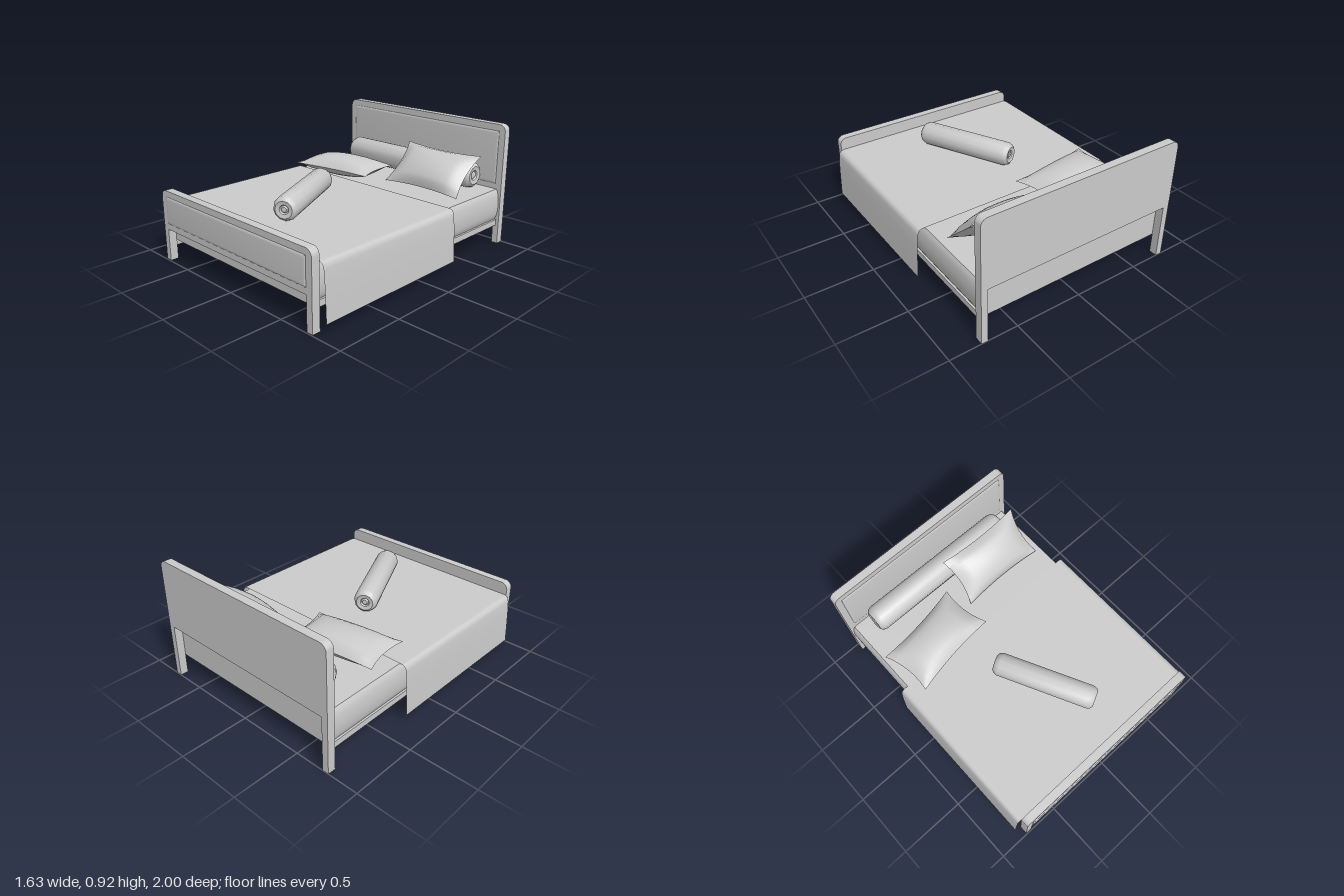
import * as THREE from 'three';
import { toCreasedNormals, mergeGeometries } from 'three/addons/utils/BufferGeometryUtils.js';

const material = new THREE.MeshStandardMaterial({ color: 0xcccccc });
const sheetMaterial = new THREE.MeshStandardMaterial({ color: 0xcccccc, side: THREE.DoubleSide });

function add(parent, name, geometry, mat = material) {
  const mesh = new THREE.Mesh(geometry, mat);
  mesh.name = name;
  parent.add(mesh);
  return mesh;
}

function rectangle(Path, x0, y0, x1, y1) {
  return new Path([[x0, y0], [x1, y0], [x1, y1], [x0, y1]].map(p => new THREE.Vector2(...p)));
}

// End board: two legs and a rounded top in one outline, plus a raised field on its front
function endBoard(name, height, openingTop, back, depth, panelBottom, panelTop) {
  const group = new THREE.Group();
  group.name = name;
  const w = 0.77, inner = 0.722, r = 0.05;
  const s = new THREE.Shape();
  s.moveTo(-w, 0);
  s.lineTo(-inner, 0);
  s.lineTo(-inner, openingTop);
  s.lineTo(inner, openingTop);
  s.lineTo(inner, 0);
  s.lineTo(w, 0);
  s.lineTo(w, height - r);
  s.absarc(w - r, height - r, r, 0, Math.PI / 2);
  s.lineTo(-w + r, height);
  s.absarc(-w + r, height - r, r, Math.PI / 2, Math.PI);
  s.closePath();
  const board = new THREE.ExtrudeGeometry(s, { depth, bevelEnabled: false, curveSegments: 4 });
  add(group, name + 'Frame', toCreasedNormals(board, 0.5)).position.z = back;

  const bevel = 0.02;
  const field = new THREE.ExtrudeGeometry(
    rectangle(THREE.Shape, -0.72 + bevel, panelBottom + bevel, 0.72 - bevel, panelTop - bevel),
    { depth: 0.001, bevelThickness: 0.007, bevelSize: bevel, bevelSegments: 2 });
  add(group, name + 'Panel', toCreasedNormals(field, 0.6)).position.z = back + depth - 0.001;
  return group;
}

// Bed base with two columns of openings
function baseGeometry() {
  const s = rectangle(THREE.Shape, -0.75, -0.935, 0.75, 0.935);
  for (const side of [-1, 1]) {
    for (let i = 0; i < 7; i++) {
      const z = (i - 3) * 0.255, x = side * 0.365;
      s.holes.push(rectangle(THREE.Path, x - 0.3, z - 0.075, x + 0.3, z + 0.075));
    }
  }
  const g = new THREE.ExtrudeGeometry(s, { depth: 0.045, bevelEnabled: false });
  return g.rotateX(-Math.PI / 2).translate(0, 0.145, 0);
}

// Mattress: softly bulging sides carried along z
function mattressGeometry() {
  const side = new THREE.SplineCurve([[0.735, 0.19], [0.752, 0.23], [0.76, 0.31], [0.752, 0.39], [0.735, 0.43]]
    .map(p => new THREE.Vector2(...p))).getPoints(12);
  const mirrored = side.map(p => new THREE.Vector2(-p.x, p.y)).reverse();
  const g = new THREE.ExtrudeGeometry(new THREE.Shape([...side, ...mirrored]), { depth: 1.87, bevelEnabled: false });
  return toCreasedNormals(g.translate(0, 0, -0.935), 0.6);
}

// Blanket: an open sheet following one cross-section
function blanketGeometry() {
  const half = [[0.755, 0.44], [0.778, 0.435], [0.791, 0.42], [0.798, 0.395], [0.806, 0.3], [0.812, 0.18], [0.817, 0.06]];
  const section = [...half.map(([x, y]) => [-x, y]).reverse(), ...half];
  const g = new THREE.PlaneGeometry(1, 1, section.length - 1, 1);
  const p = g.attributes.position;
  for (let i = 0; i < p.count; i++) {
    const [x, y] = section[i % section.length];
    p.setXYZ(i, x, y, i < section.length ? -0.31 : 0.927);
  }
  g.computeVertexNormals();
  return g;
}

// Bolster: a turned roll with rounded rims and a button at each end
function bolsterGeometry(length, r) {
  const h = length / 2;
  const end = [[0, h - 0.008], [0.2 * r, h - 0.008], [0.3 * r, h - 0.016], [0.38 * r, h - 0.006],
    [0.7 * r, h], [0.88 * r, h - 0.012], [r, h - 0.04]];
  const points = [...end.map(([x, y]) => [x, -y]), ...end.slice().reverse()]
    .map(p => new THREE.Vector2(...p));
  return toCreasedNormals(new THREE.LatheGeometry(points, 12), 0.7);
}

// Pillow: two puffed halves with pinched corners and drawn-in edges
function pillowGeometry(width, depth, thickness) {
  const top = new THREE.PlaneGeometry(2, 2, 12, 10).rotateX(-Math.PI / 2);
  const p = top.attributes.position;
  for (let i = 0; i < p.count; i++) {
    const u = p.getX(i), v = p.getZ(i);
    const puff = Math.pow(Math.max(0, (1 - u * u) * (1 - v * v)), 0.55);
    p.setXYZ(i,
      u * (width / 2 - 0.03 * (1 - v * v)),
      puff * thickness / 2,
      v * (depth / 2 - 0.02 * (1 - u * u)));
  }
  top.computeVertexNormals();
  return mergeGeometries([top, top.clone().rotateX(Math.PI)]);
}

export function createModel() {
  const bed = new THREE.Group();
  bed.name = 'bed';

  bed.add(endBoard('headboard', 0.92, 0.41, -1, 0.06, 0.47, 0.87));
  bed.add(endBoard('footboard', 0.53, 0.24, 0.932, 0.061, 0.285, 0.485));
  add(bed, 'bedBase', baseGeometry());
  add(bed, 'mattress', mattressGeometry());
  add(bed, 'blanket', blanketGeometry(), sheetMaterial);

  // Long bolster against the headboard
  const longBolster = add(bed, 'longBolster', bolsterGeometry(1.22, 0.1));
  longBolster.rotation.z = Math.PI / 2;
  longBolster.position.set(0, 0.532, -0.825);

  // Short bolster lying askew on the blanket
  const shortBolster = add(bed, 'shortBolster', bolsterGeometry(0.75, 0.087));
  shortBolster.quaternion.setFromUnitVectors(
    new THREE.Vector3(0, 1, 0), new THREE.Vector3(0.335, 0, 0.67).normalize());
  shortBolster.position.set(0, 0.528, 0.34);

  // One pillow flat, one leaning on the bolster
  const flatPillow = add(bed, 'flatPillow', pillowGeometry(0.67, 0.385, 0.16));
  flatPillow.rotation.y = 0.15;
  flatPillow.position.set(-0.362, 0.51, -0.422);

  const leaningPillow = add(bed, 'leaningPillow', pillowGeometry(0.665, 0.385, 0.16));
  leaningPillow.rotation.x = 0.74;
  leaningPillow.position.set(0.355, 0.575, -0.63);

  return bed;
}
